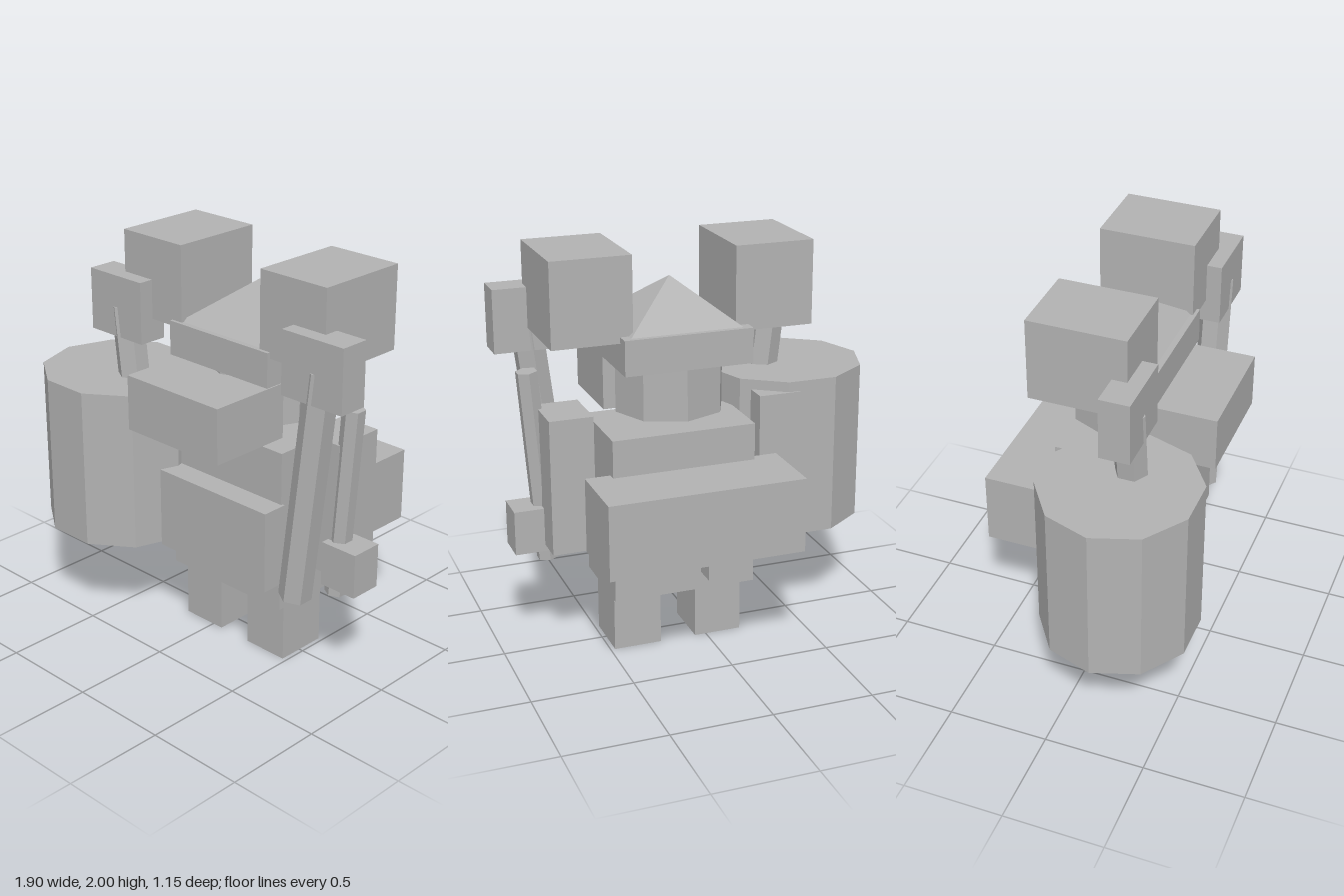
import * as THREE from 'three';

export function createModel() {
  const model = new THREE.Group();
  model.name = 'blockFigure';
  const grey = new THREE.MeshStandardMaterial({ color: 0xb3b3b3, flatShading: true });
  grey.name = 'plain grey';
  const MID = 0.148; // the body's own centre line

  const add = (name, geometry) => {
    const mesh = new THREE.Mesh(geometry, grey);
    mesh.name = name;
    model.add(mesh);
    return mesh;
  };

  // box given by its extents on each axis
  const box = (name, [x0, x1], [y0, y1], [z0, z1]) => {
    const mesh = add(name, new THREE.BoxGeometry(x1 - x0, y1 - y0, z1 - z0));
    mesh.position.set((x0 + x1) / 2, (y0 + y1) / 2, (z0 + z1) / 2);
  };

  // upright faceted prism, oval in plan
  const prism = (name, sides, x, [y0, y1], z, rx, rz, start = 0) => {
    const geometry = new THREE.CylinderGeometry(1, 1, y1 - y0, sides, 1, false, start);
    const mesh = add(name, geometry.scale(rx, 1, rz));
    mesh.position.set(x, (y0 + y1) / 2, z);
  };

  // six-sided rod between two points
  const rod = (name, from, to, radius) => {
    const a = new THREE.Vector3(...from), b = new THREE.Vector3(...to);
    const mesh = add(name, new THREE.CylinderGeometry(radius, radius, a.distanceTo(b), 6));
    mesh.position.copy(a).add(b).multiplyScalar(0.5);
    mesh.quaternion.setFromUnitVectors(new THREE.Vector3(0, 1, 0), b.sub(a).normalize());
  };

  // body
  box('torso', [-0.207, 0.505], [0.31, 1.13], [-0.255, 0.18]);
  box('apron', [-0.18, 0.518], [0.46, 0.87], [0.17, 0.303]);
  box('backpack', [-0.337, 0.63], [0.578, 0.947], [-0.574, -0.212]);
  box('backpackPeg', [0.035, 0.13], [0.48, 0.578], [-0.52, -0.418]);

  // head, muzzle and pointed hat
  prism('head', 8, MID, [1.195, 1.47], -0.035, 0.27, 0.255);
  box('muzzle', [-0.145, 0.436], [1.165, 1.437], [0.1, 0.53]);
  box('hatBrim', [-0.165, 0.46], [1.455, 1.625], [-0.323, 0.236]);
  const roof = new THREE.ConeGeometry(Math.SQRT1_2, 0.212, 4, 1, false, Math.PI / 4);
  add('hatPeak', roof.scale(0.545, 1, 0.504)).position.set(MID, 1.731, -0.045);

  // paired limbs and hammers, mirrored about the centre line
  for (const [side, s] of [['left', 1], ['right', -1]]) {
    const span = (a, b) => (s > 0 ? [MID + a, MID + b] : [MID - b, MID - a]);
    box(side + 'Leg', span(0.091, 0.33), [0, 0.312], [-0.145, 0.122]);
    box(side + 'Arm', span(0.418, 0.632), [0.56, 1.23], [-0.165, 0.1]);
    box(side + 'ShoulderBlock', span(0.25, 0.635), [1.595, 2], [-0.257, 0.22]);
    box(side + 'HammerHead', span(0.45, 0.799), [1.482, 1.79], [0.147, 0.295]);
    rod(side + 'HammerHandle', [MID + s * 0.491, 0.459, 0.223], [MID + s * 0.629, 1.63, 0.223], 0.08);
  }

  // barrel on the right, small mallet on the left
  prism('barrel', 10, -0.55, [0.475, 1.28], 0.21, 0.402, 0.386, Math.PI / 2);
  rod('malletHandle', [0.749, 0.46, 0.059], [0.821, 1.413, 0.059], 0.054);
  box('malletHead', [0.728, 0.926], [0.525, 0.745], [-0.022, 0.143]);

  return model;
}
